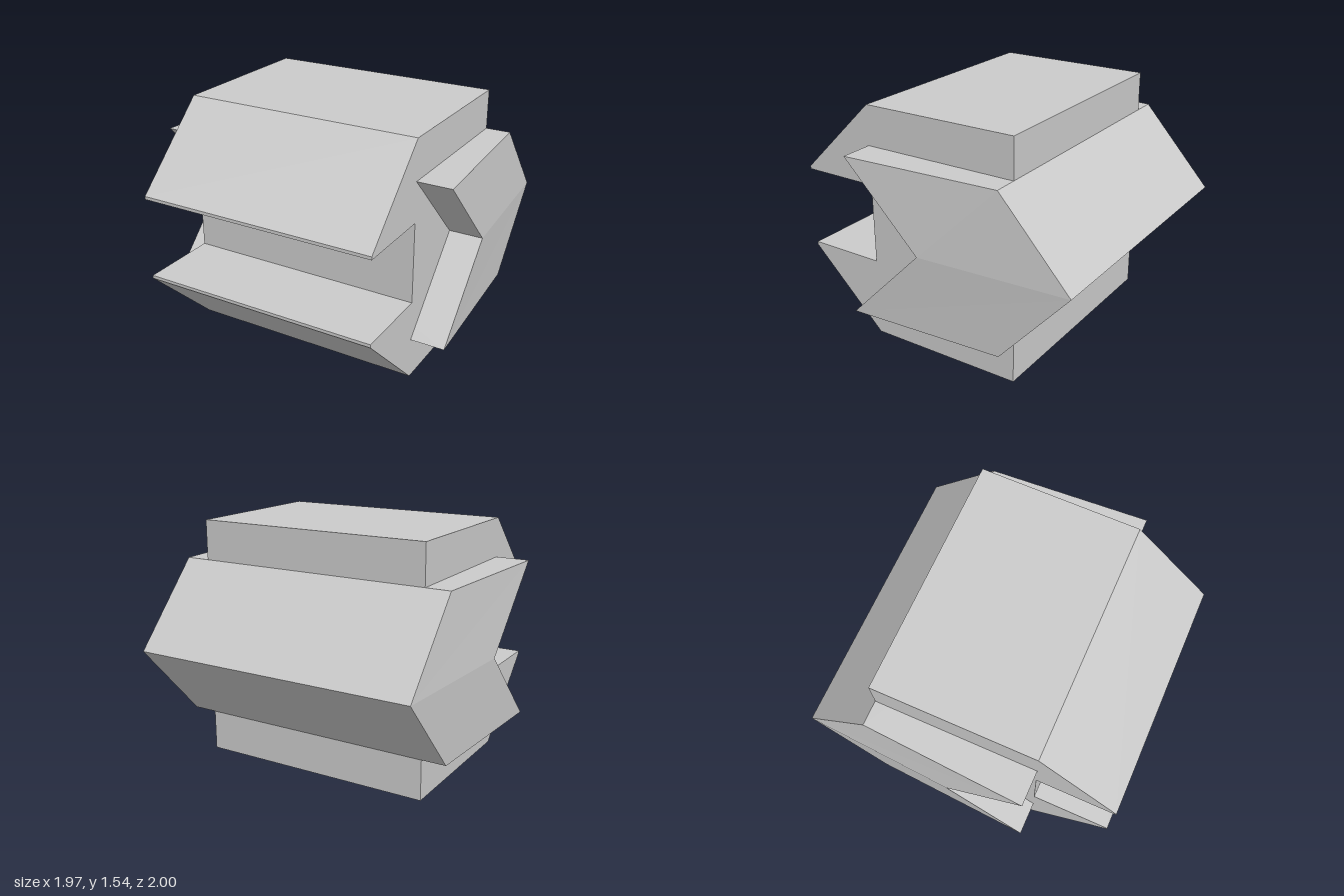
import * as THREE from 'three';

export function createModel() {
  const model = new THREE.Group();
  const material = new THREE.MeshStandardMaterial({ color: 0xcccccc, flatShading: true });
  const add = (name, geometry) => {
    const mesh = new THREE.Mesh(geometry, material);
    mesh.name = name;
    model.add(mesh);
  };

  // Core block: side profile (z, y) with a slot in the front, extruded across x
  const profile = [
    [0.49, 0], [1, 0.495], [1, 0.515], [0.49, 0.515], [0.49, 1.03],
    [1, 1.03], [1, 1.05], [0.49, 1.54], [-0.54, 1.54], [-0.54, 0],
  ];
  const shape = new THREE.Shape(profile.map(([z, y]) => new THREE.Vector2(z, y)));
  const width = 1.535;
  const core = new THREE.ExtrudeGeometry(shape, { depth: width, bevelEnabled: false });
  core.translate(0, 0, -width / 2).rotateY(-Math.PI / 2);
  add('slottedCore', core);

  // Chevron band: pointed at the back, notched at the front, slightly wider in front
  // Each corner is [half width, y, z]
  const ring = [
    [0.985, 1.285, 0.49], [0.925, 1.285, -0.54], [0.925, 0.773, -1],
    [0.925, 0.26, -0.54], [0.985, 0.26, 0.49], [0.985, 0.773, -0.02],
  ];
  const n = ring.length;
  const positions = [1, -1].flatMap(s => ring.flatMap(([x, y, z]) => [s * x, y, z]));
  const index = [];
  const quad = (a, b, c, d) => index.push(a, b, c, a, c, d);
  for (let i = 0; i < n; i++) {
    const j = (i + 1) % n;
    quad(i, j, j + n, i + n);
  }
  // Side faces, upper and lower half on both sides
  for (const [a, b, c, d] of [[0, 1, 2, 5], [5, 2, 3, 4]]) {
    quad(d, c, b, a);
    quad(a + n, b + n, c + n, d + n);
  }
  const indexed = new THREE.BufferGeometry();
  indexed.setAttribute('position', new THREE.Float32BufferAttribute(positions, 3));
  indexed.setIndex(index);
  const band = indexed.toNonIndexed();
  band.computeVertexNormals();
  add('chevronBand', band);

  return model;
}
